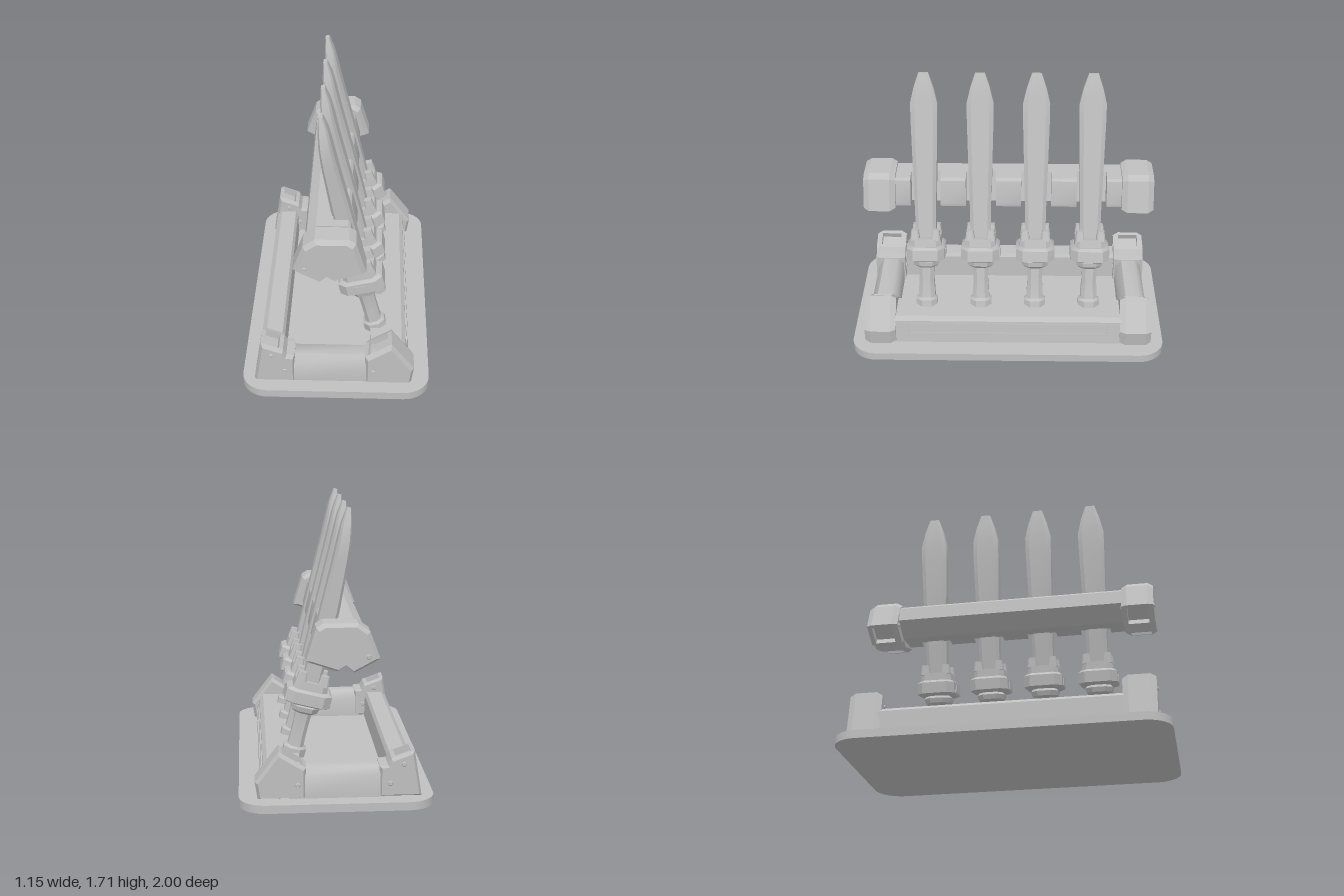
import * as THREE from 'three';
import { toCreasedNormals } from 'three/addons/utils/BufferGeometryUtils.js';

const grey = new THREE.MeshStandardMaterial({ color: 0xbfbfbf });
grey.name = 'stone grey';

function part(name, geometry, parent, crease = 0.5) {
  const mesh = new THREE.Mesh(toCreasedNormals(geometry, crease), grey);
  mesh.name = name;
  parent.add(mesh);
  return mesh;
}

// Straight prism of a counter-clockwise profile, from z0 to z1
function prism(profile, z0, z1) {
  const shape = new THREE.Shape(profile.map(([x, y]) => new THREE.Vector2(x, y)));
  return new THREE.ExtrudeGeometry(shape, { depth: z1 - z0, bevelEnabled: false }).translate(0, 0, z0);
}

// Stack of chamfered rectangles: [y, halfX, halfZ, offsetX]
function loft(sections, chamfer) {
  const c = 1 - chamfer;
  const ring = [[1, -c], [1, c], [c, 1], [-c, 1], [-1, c], [-1, -c], [-c, -1], [c, -1]];
  const rows = sections.map(([y, hx, hz, ox = 0]) => ring.map(([u, v]) => [ox + u * hx, y, v * hz]));
  const last = rows.length - 1, out = [];
  for (let i = 0; i < 8; i++) {
    const j = (i + 1) % 8;
    for (let k = 0; k < last; k++) {
      const a = rows[k], b = rows[k + 1];
      out.push(...a[i], ...b[i], ...a[j], ...a[j], ...b[i], ...b[j]);
    }
    const [y0, , , x0 = 0] = sections[0], [y1, , , x1 = 0] = sections[last];
    out.push(x0, y0, 0, ...rows[0][i], ...rows[0][j]);
    out.push(x1, y1, 0, ...rows[last][j], ...rows[last][i]);
  }
  const geometry = new THREE.BufferGeometry();
  geometry.setAttribute('position', new THREE.Float32BufferAttribute(out, 3));
  geometry.computeVertexNormals();
  return geometry;
}

function roundedRect(w, h, r, Type = THREE.Shape) {
  const s = new Type(), x = w / 2, y = h / 2;
  s.absarc(x - r, y - r, r, 0, Math.PI / 2);
  s.absarc(-x + r, y - r, r, Math.PI / 2, Math.PI);
  s.absarc(-x + r, -y + r, r, Math.PI, Math.PI * 1.5);
  s.absarc(x - r, -y + r, r, Math.PI * 1.5, Math.PI * 2);
  s.closePath();
  return s;
}

// End fitting: two chamfered cheeks and a core with sunken mouths on chosen edges
function cap(name, profile, mouths, studs, z, parent) {
  const group = new THREE.Group();
  group.name = name;
  group.position.z = z;
  parent.add(group);
  const half = 0.1, inner = 0.065;
  const core = [];
  profile.forEach((p, i) => {
    core.push(p);
    if (!mouths.includes(i)) return;
    const a = new THREE.Vector2(...p), b = new THREE.Vector2(...profile[(i + 1) % profile.length]);
    const t = b.clone().sub(a).normalize(), n = new THREE.Vector2(-t.y, t.x);
    const a2 = a.clone().addScaledVector(t, 0.025), b2 = b.clone().addScaledVector(t, -0.025);
    for (const q of [a2, a2.clone().addScaledVector(n, 0.04), b2.clone().addScaledVector(n, 0.04), b2])
      core.push([q.x, q.y]);
  });
  part(name + 'Core', prism(core, -inner, inner), group);
  const cx = profile.reduce((s, p) => s + p[0], 0) / profile.length;
  const cy = profile.reduce((s, p) => s + p[1], 0) / profile.length;
  for (const side of [1, -1]) {
    const geo = side > 0 ? prism(profile, inner, half) : prism(profile, -half, -inner);
    const pos = geo.attributes.position;
    for (let i = 0; i < pos.count; i++) {
      if (Math.abs(pos.getZ(i)) < half - 0.001) continue;
      pos.setX(i, cx + (pos.getX(i) - cx) * 0.88);
      pos.setY(i, Math.max(cy + (pos.getY(i) - cy) * 0.88, 0.05));
    }
    geo.computeVertexNormals();
    part(name + 'Cheek', geo, group);
    // Small faceted studs
    for (const [x, y] of studs) {
      const stud = new THREE.CylinderGeometry(0.012, 0.022, 0.012, 5).rotateX(side * Math.PI / 2);
      part('stud', stud, group, 0.1).position.set(x, y, side * half);
    }
  }
}

function sword(z, parent) {
  const g = new THREE.Group();
  g.name = 'sword';
  g.position.set(0.235, 0.23, z);
  g.rotation.z = 14 * Math.PI / 180;
  parent.add(g);
  part('pommel', loft([[-0.03, 0.068, 0.068], [0.02, 0.068, 0.068], [0.035, 0.05, 0.05]], 0.55), g);
  part('grip', loft([[0, 0.05, 0.055], [0.08, 0.046, 0.052], [0.16, 0.046, 0.046], [0.27, 0.05, 0.055]], 0.5), g);
  part('collar', loft([[0.245, 0.06, 0.06], [0.26, 0.078, 0.08], [0.29, 0.085, 0.088], [0.31, 0.07, 0.07]], 0.5), g);
  part('guard', loft([[0.305, 0.12, 0.105], [0.315, 0.14, 0.122], [0.385, 0.138, 0.122], [0.4, 0.12, 0.105]], 0.35), g);
  part('guardPlate', loft([[0.32, 0.055, 0.126], [0.37, 0.035, 0.126]], 0.02), g);
  part('crown', loft([[0.39, 0.105, 0.1], [0.45, 0.1, 0.095]], 0.3), g);
  // Castellations around the root of the blade
  for (const sx of [-1, 1]) for (const sz of [-1, 1]) {
    part('crownTooth', loft([[0.44, 0.032, 0.03], [0.505, 0.024, 0.022]], 0.3), g)
      .position.set(sx * 0.068, 0, sz * 0.066);
  }
  part('blade', loft([[0.42, 0.052, 0.065], [0.6, 0.055, 0.066], [0.9, 0.056, 0.075],
    [1.2, 0.046, 0.083, 0.01], [1.32, 0.04, 0.084, 0.018], [1.42, 0.031, 0.06, 0.028],
    [1.51, 0.013, 0.03, 0.036]], 0.32), g, 0.3);
}

export function createModel() {
  const model = new THREE.Group();
  model.name = 'swordRack';

  // Base plate
  const plate = new THREE.ExtrudeGeometry(roundedRect(1.15, 2, 0.16), { depth: 0.05, bevelEnabled: false, curveSegments: 6 });
  part('basePlate', plate.rotateX(-Math.PI / 2), model);

  // Long lower bars
  part('frontBar', prism([[0.21, 0.04], [0.45, 0.04], [0.43, 0.2], [0.405, 0.225], [0.21, 0.225]], -0.76, 0.76), model);
  part('backBar', prism([[-0.475, 0.04], [-0.32, 0.04], [-0.325, 0.2], [-0.34, 0.225], [-0.44, 0.225], [-0.47, 0.2]], -0.76, 0.76), model);

  // Raised slot frame on the front bar
  const frame = roundedRect(1.3, 0.08, 0.03);
  frame.holes.push(roundedRect(1.27, 0.054, 0.02, THREE.Path));
  const slot = part('slotFrame', new THREE.ExtrudeGeometry(frame, { depth: 0.014, bevelEnabled: false, curveSegments: 3 })
    .rotateY(Math.PI / 2), model);
  slot.position.set(0.43, 0.147, 0);
  slot.rotation.z = 0.125;

  // Short side bars, end fittings and upper caps
  const barProfile = [[-0.085, 0.04], [0.085, 0.04], [0.085, 0.17], [0.045, 0.23], [-0.045, 0.23], [-0.085, 0.19]];
  for (const s of [1, -1]) {
    part('sideBar', prism(barProfile, -0.28, 0.28).rotateY(-Math.PI / 2), model, 0.9).position.z = s * 0.815;
    cap('backFoot', [[-0.5, 0.05], [-0.25, 0.05], [-0.25, 0.235], [-0.3, 0.24], [-0.32, 0.28], [-0.455, 0.33]],
      [4], [[-0.39, 0.255], [-0.31, 0.14]], s * 0.82, model);
    cap('frontFoot', [[0.18, 0.05], [0.465, 0.05], [0.48, 0.15], [0.34, 0.335], [0.18, 0.235]],
      [3], [[0.23, 0.14]], s * 0.82, model);
    cap('upperCap', [[-0.25, 0.88], [-0.1, 0.8], [-0.05, 0.84], [0, 0.81], [0.18, 0.87], [0.12, 1.065],
      [0.08, 1.09], [-0.12, 1.09], [-0.19, 1.04]], [0, 3], [[-0.18, 0.9]], s * 0.815, model);
  }

  // Upper beam with blocks that leave a notch for each blade
  part('beam', prism([[-0.19, 0.93], [-0.06, 0.86], [0.03, 0.865], [-0.02, 1.055], [-0.12, 1.055], [-0.175, 1.02]], -0.76, 0.76), model);
  const block = [[0, 0.87], [0.115, 0.875], [0.118, 0.895], [0.085, 1.04], [0.07, 1.055], [-0.04, 1.055]];
  for (const [z0, z1] of [[-0.76, -0.62], [-0.43, -0.27], [-0.08, 0.08], [0.27, 0.43], [0.62, 0.76]]) {
    part('beamBlock', prism(block, z0, z1), model);
  }

  for (let i = 0; i < 4; i++) sword(0.528 - i * 0.35, model);
  return model;
}
